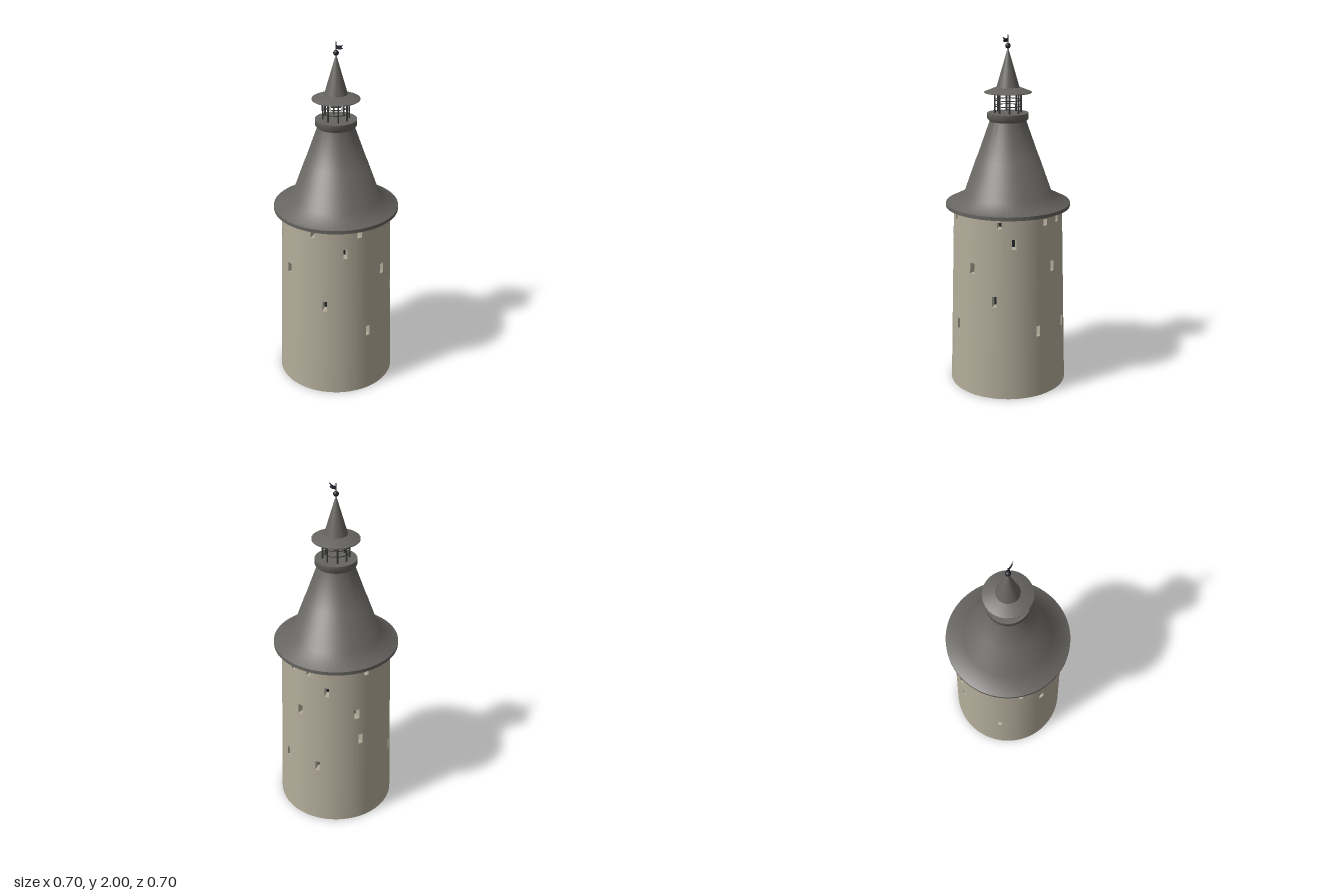
import * as THREE from 'three';
import { toCreasedNormals } from 'three/addons/utils/BufferGeometryUtils.js';

const mat = (color) => new THREE.MeshStandardMaterial({ color });
const stone = mat(0xb3ac9a), slate = mat(0x666460), iron = mat(0x3a3a3a), dark = mat(0x24262c);
const WALL_TOP = 1.055, RAD = Math.PI / 180;

// Window rows: centre height, width, height, azimuths in degrees (0 = front, 90 = +x)
const rows = [
  { y: 1.01, w: 0.026, h: 0.036, at: [-30, 30, 80, 100, 162, 220, 281] },
  { y: 0.905, w: 0.024, h: 0.056, at: [-45, 45, 120, 225] },
  { y: 0.75, w: 0.03, h: 0.06, at: [0, 90, 151, 250] },
  { y: 0.575, w: 0.025, h: 0.062, at: [-66, 25, 155] },
  { y: 0.39, w: 0.025, h: 0.062, at: [-20.5, 70, 110, 202] },
];

function mesh(name, geometry, material) {
  const m = new THREE.Mesh(geometry, material);
  m.name = name;
  return m;
}

function lathe(name, profile, material, segments = 64) {
  const g = new THREE.LatheGeometry(profile.map(([r, y]) => new THREE.Vector2(r, y)), segments);
  return mesh(name, toCreasedNormals(g, 0.9), material);
}

// Point on the tapered wall, optionally set back into it
function wallPoint(deg, y, inset = 0) {
  const r = 0.336 - 0.029 * (y / WALL_TOP) - inset;
  return [r * Math.sin(deg * RAD), y, r * Math.cos(deg * RAD)];
}

function quadGeometry(quads) {
  const pos = [];
  for (const [a, b, c, d] of quads) pos.push(...a, ...b, ...c, ...a, ...c, ...d);
  const g = new THREE.BufferGeometry();
  g.setAttribute('position', new THREE.Float32BufferAttribute(pos, 3));
  return toCreasedNormals(g, 0.6);
}

// Round wall with window openings cut through a grid that follows their edges
function buildWall() {
  const group = new THREE.Group();
  group.name = 'tower';
  const windows = [];
  for (const { y, w, h, at } of rows) {
    const half = w / 2 / (0.336 - 0.028 * y) / RAD;
    for (const deg of at) {
      const a = (deg + 360) % 360;
      windows.push({ a0: a - half, a1: a + half, y0: y - h / 2, y1: y + h / 2 });
    }
  }
  const angles = [], heights = [0, WALL_TOP];
  for (let i = 0; i < 64; i++) angles.push(i * 5.625);
  for (const w of windows) angles.push((w.a0 + 360) % 360, w.a1);
  for (const { y, h } of rows) heights.push(y - h / 2, y + h / 2);
  angles.sort((p, q) => p - q);
  heights.sort((p, q) => p - q);
  angles.push(360);

  const isOpen = (a, y) => windows.some((w) =>
    y > w.y0 && y < w.y1 && [a, a - 360].some((t) => t > w.a0 && t < w.a1));
  const skin = [], panes = [];
  for (let i = 0; i < angles.length - 1; i++) {
    const a0 = angles[i], a1 = angles[i + 1];
    if (a1 - a0 < 1e-6) continue;
    for (let j = 0; j < heights.length - 1; j++) {
      const y0 = heights[j], y1 = heights[j + 1];
      if (isOpen((a0 + a1) / 2, (y0 + y1) / 2)) continue;
      skin.push([wallPoint(a0, y0), wallPoint(a1, y0), wallPoint(a1, y1), wallPoint(a0, y1)]);
    }
  }
  // Jambs, sill and lintel of each opening, with a dark pane at the back
  for (const { a0, a1, y0, y1 } of windows) {
    const ring = [[a0, y0], [a1, y0], [a1, y1], [a0, y1]];
    const outer = ring.map(([a, y]) => wallPoint(a, y));
    const inner = ring.map(([a, y]) => wallPoint(a, y, 0.05));
    for (let k = 0; k < 4; k++) {
      const n = (k + 1) % 4;
      skin.push([outer[k], outer[n], inner[n], inner[k]]);
    }
    panes.push(inner);
  }
  group.add(mesh('wall', quadGeometry(skin), stone));
  group.add(mesh('windowPanes', quadGeometry(panes), dark));

  const base = mesh('baseUnderside', new THREE.CircleGeometry(0.336, 64), stone);
  base.rotation.x = Math.PI / 2;
  group.add(base);
  return group;
}

// Open lantern: ring of posts with two rails
function buildLantern() {
  const group = new THREE.Group();
  group.name = 'lantern';
  const post = new THREE.CylinderGeometry(0.005, 0.005, 0.125, 8);
  for (let i = 0; i < 8; i++) {
    const a = (i * Math.PI) / 4;
    const p = mesh('lanternPost', post, iron);
    p.position.set(0.073 * Math.sin(a), 1.633, 0.073 * Math.cos(a));
    group.add(p);
  }
  for (const y of [1.615, 1.648]) {
    const rail = mesh('lanternRail', new THREE.TorusGeometry(0.073, 0.0025, 6, 40), iron);
    rail.rotation.x = Math.PI / 2;
    rail.position.y = y;
    group.add(rail);
  }
  return group;
}

// Ball, rod and swallow-tailed weather vane
function buildFinial() {
  const group = new THREE.Group();
  group.name = 'finial';
  const ball = mesh('finialBall', new THREE.SphereGeometry(0.015, 24, 16), dark);
  ball.position.y = 1.942;
  const rod = mesh('finialRod', new THREE.CylinderGeometry(0.0025, 0.0035, 0.09, 10), dark);
  rod.position.y = 1.955;
  const flag = new THREE.Shape();
  flag.moveTo(0, 1.965);
  [[0.024, 1.962], [0.043, 1.969], [0.034, 1.977], [0.045, 1.99], [0.022, 1.982], [0, 1.982]]
    .forEach(([x, y]) => flag.lineTo(x, y));
  const g = new THREE.ExtrudeGeometry(flag, { depth: 0.004, bevelEnabled: false });
  g.translate(0, 0, -0.002).rotateY(-Math.PI / 2);
  group.add(ball, rod, mesh('weatherVane', g, dark));
  return group;
}

export function createModel() {
  const model = new THREE.Group();
  model.name = 'roundTower';
  model.add(buildWall());

  // Flared main roof with eaves and a fine seam halfway up
  model.add(lathe('mainRoof', [
    [0.29, 1.05], [0.352, 1.05], [0.352, 1.07], [0.25, 1.12],
    [0.176, 1.327], [0.174, 1.328], [0.099, 1.54],
  ], slate));

  // Gallery platform
  model.add(lathe('galleryPlatform', [
    [0, 1.53], [0.1, 1.53], [0.115, 1.545], [0.115, 1.577], [0, 1.577],
  ], slate));
  model.add(buildLantern());

  // Lantern roof: broad brim and spire
  model.add(lathe('lanternBrim', [
    [0, 1.688], [0.131, 1.688], [0.131, 1.692], [0.066, 1.718], [0, 1.718],
  ], slate));
  model.add(lathe('spire', [[0.064, 1.716], [0.003, 1.925], [0, 1.925]], slate));
  model.add(buildFinial());
  return model;
}
